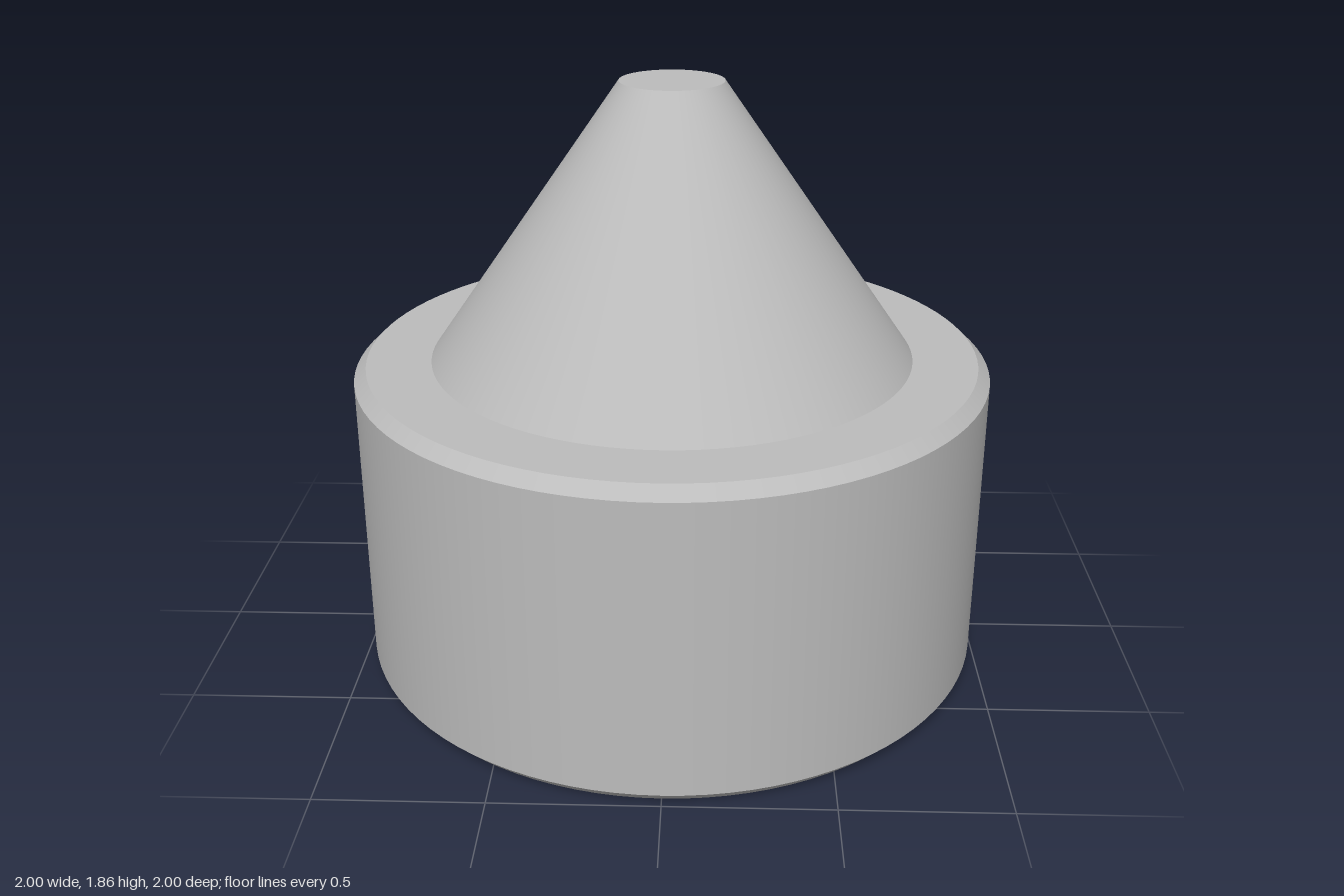
import * as THREE from 'three';

// Each band is its own lathe, so edges between bands stay sharp while curves stay smooth.
export function createModel() {
  const group = new THREE.Group();
  const grey = new THREE.MeshStandardMaterial({ color: 0xbcbcbc });
  grey.name = 'plain grey';

  // Closed profile [radius, height], from the recess ceiling round to the tip,
  // with the name of the band that starts at each point.
  const profile = [
    [0, 0.86, 'recessCeiling'],
    [0.2, 0.86, 'recessWall'],
    [0.8, 0, 'bottomRim'],
    [0.965, 0, 'lowerChamfer'],
    [1, 0.037, 'drumWall'],
    [1, 0.963, 'upperChamfer'],
    [0.962, 1, 'shoulder'],
    [0.76, 1, 'cone'],
    [0.16, 1.86, 'coneTip'],
    [0, 1.86],
  ];

  for (let i = 0; i < profile.length - 1; i++) {
    const ends = [profile[i], profile[i + 1]].map(([r, y]) => new THREE.Vector2(r, y));
    const band = new THREE.Mesh(new THREE.LatheGeometry(ends, 96), grey);
    band.name = profile[i][2];
    group.add(band);
  }
  return group;
}
